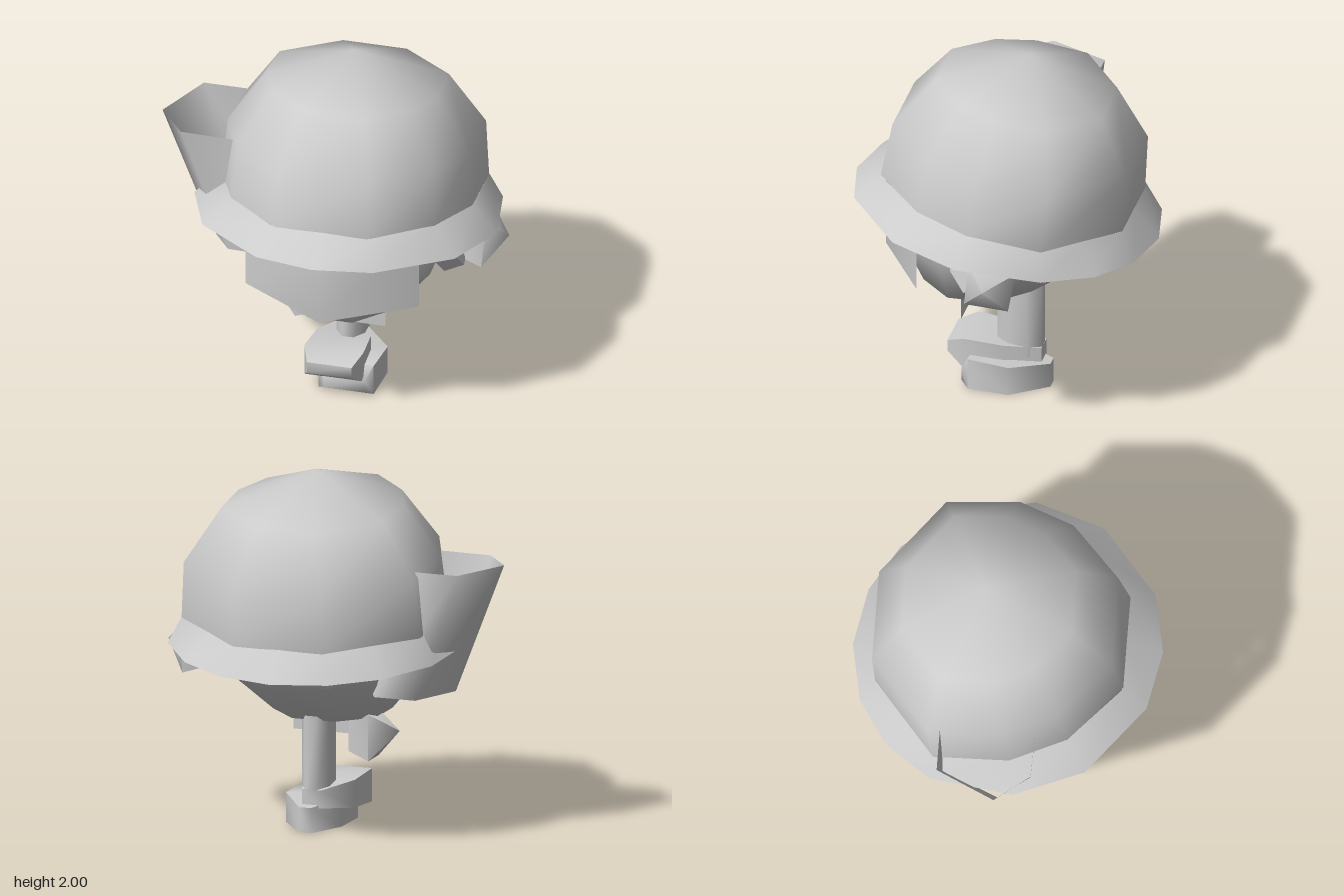
import * as THREE from 'three';
import { toCreasedNormals } from 'three/addons/utils/BufferGeometryUtils.js';

const material = new THREE.MeshStandardMaterial({ color: 0xcccccc, side: THREE.DoubleSide });

// Skin a row of rings; each ring runs counter-clockwise about the direction of travel.
function loft(rings, capped = true) {
  const n = rings[0].length, index = [];
  for (let r = 0; r < rings.length - 1; r++) {
    for (let i = 0; i < n; i++) {
      const j = (i + 1) % n, a = r * n + i, b = r * n + j;
      index.push(a, b, b + n, a, b + n, a + n);
    }
  }
  if (capped) {
    const top = (rings.length - 1) * n;
    for (let i = 1; i < n - 1; i++) index.push(0, i + 1, i, top, top + i, top + i + 1);
  }
  const geometry = new THREE.BufferGeometry();
  geometry.setAttribute('position', new THREE.Float32BufferAttribute(rings.flat(2), 3));
  geometry.setIndex(index);
  return geometry;
}

// Rectangular rings across the z axis and across the x axis
const rectZ = (z, x0, x1, y0, y1) => [[x0, y0, z], [x1, y0, z], [x1, y1, z], [x0, y1, z]];
const rectX = (x, y0, y1, z0, z1) => [[x, y0, z0], [x, y1, z0], [x, y1, z1], [x, y0, z1]];

export function createModel() {
  const model = new THREE.Group();

  function add(name, geometry, parent = model, crease = 1.2) {
    const mesh = new THREE.Mesh(toCreasedNormals(geometry, crease), material);
    mesh.name = name;
    parent.add(mesh);
    return mesh;
  }

  // Helmet, leaning back
  const helmet = new THREE.Group();
  helmet.name = 'helmet';
  helmet.position.set(0.08, 1.07, 0);
  helmet.rotation.x = -0.13;
  model.add(helmet);

  // Dome: a ten-sided outline, mirrored left to right, shrinking to the crown
  const side = [[0.26, 0.67], [0.57, 0.39], [0.7, 0.08], [0.69, -0.34], [0.26, -0.69]];
  const outline = [...side, ...side.map(([x, z]) => [-x, z]).reverse()];
  const domeRings = [[1, 0.14], [0.965, 0.46], [0.685, 0.755], [0, 0.937]];
  add('dome', loft(domeRings.map(([s, y]) => outline.map(([x, z]) => [x * s, y, z * s])), false), helmet);

  // Brim: angle from the front and inner radius, mirrored left to right
  const half = [[22.6, 0.72], [56, 0.69], [84, 0.705], [116, 0.77], [138, 0.7], [158, 0.737]];
  const brim = [[0, 0.67], ...half, [180, 0.69], ...half.map(([a, r]) => [360 - a, r]).reverse()];
  const point = (a, r, y) => {
    const t = THREE.MathUtils.degToRad(a);
    return [r * Math.sin(t), y, r * Math.cos(t)];
  };
  add('brim', loft([brim.map(([a]) => point(a, 0.85, 0)), brim.map(([a, r]) => point(a, r, 0.143))], false), helmet);

  // Head: eight-sided rings (height, z centre, radius), kept behind the face plate
  const headRings = [[0.54, 0.12, 0], [0.61, 0.14, 0.3], [0.86, 0.03, 0.51], [1.05, 0, 0.575], [1.3, -0.02, 0.57]];
  add('head', loft(headRings.map(([y, cz, r]) => Array.from({ length: 8 }, (_, i) => {
    const [x, , z] = point(22.5 + i * 45, r / Math.cos(Math.PI / 8), 0);
    return [0.08 + x, y, Math.min(cz + z, 0.65 - 0.6 * Math.abs(x))];
  }))));

  // Face plate: a thin open wedge of two panels
  const plate = new THREE.PlaneGeometry(0.97, 0.44, 2, 1);
  plate.translate(0.08, 0.96, 0.68);
  const corners = plate.attributes.position;
  for (let i = 0; i < corners.count; i++) {
    corners.setZ(i, 0.68 - 0.6 * Math.abs(corners.getX(i) - 0.08));
  }
  add('facePlate', plate);

  // Open, leaning six-sided holder on the side
  const hex = [[-0.815, 0.19], [-0.505, 0.2], [-0.4, -0.06], [-0.535, -0.32], [-0.815, -0.32], [-0.965, 0]];
  const lower = hex.map(([x, z]) => [-0.685 + (x + 0.965) * 0.85, 0.8, z * 0.9]);
  add('sideHolder', loft([lower, hex.map(([x, z]) => [x, 1.525, z])], false));

  // Ear piece: pointed block and a five-sided mount
  const ear = new THREE.Group();
  ear.name = 'earPiece';
  model.add(ear);
  add('earBlock', loft([
    [[0.72, 0.85, -0.17], [0.72, 1.03, -0.2], [0.72, 1.06, 0.01], [0.72, 0.86, 0.04]],
    [[0.83, 0.815, -0.185], [0.83, 1.05, -0.23], [0.85, 1.09, 0.03], [0.83, 0.83, 0.06]],
    rectX(0.955, 0.975, 0.975, -0.07, -0.07),
  ]), ear);
  const mount = add('earMount', new THREE.CylinderGeometry(0.12, 0.14, 0.12, 5), ear);
  mount.rotation.z = -Math.PI / 2 + 0.3;
  mount.position.set(0.65, 0.94, 0.05);

  // Thin sheet under the chin and the pointed knob beside it
  add('chinSheet', new THREE.PlaneGeometry(0.495, 0.16)).position.set(0.083, 0.54, 0.2);
  add('chinKnob', loft([
    rectX(-0.345, 0.54, 0.54, 0.04, 0.04),
    rectX(-0.2, 0.38, 0.64, -0.06, 0.1),
    rectX(-0.075, 0.42, 0.6, -0.03, 0.08),
  ]));

  // Leg
  const leg = add('leg', new THREE.CylinderGeometry(0.5, 0.5, 0.5, 8, 1, false, Math.PI / 8));
  leg.scale.set(0.173, 0.92, 0.27);
  leg.position.set(0.08, 0.41, -0.075);

  // Two overlapping feet, narrow at the heel
  add('upperFoot', loft([
    rectZ(-0.2, 0.02, 0.13, 0.13, 0.23),
    rectZ(0, -0.1, 0.2, 0.1, 0.255),
    rectZ(0.21, -0.12, 0.21, 0.09, 0.275),
    rectZ(0.315, -0.08, 0.17, 0.17, 0.235),
  ]));
  add('lowerFoot', loft([
    rectZ(-0.25, 0.06, 0.13, 0, 0.14),
    rectZ(-0.05, -0.04, 0.28, 0, 0.165),
    rectZ(0.18, -0.05, 0.26, 0, 0.18),
    rectZ(0.225, -0.01, 0.22, 0.03, 0.1),
  ]));

  return model;
}
